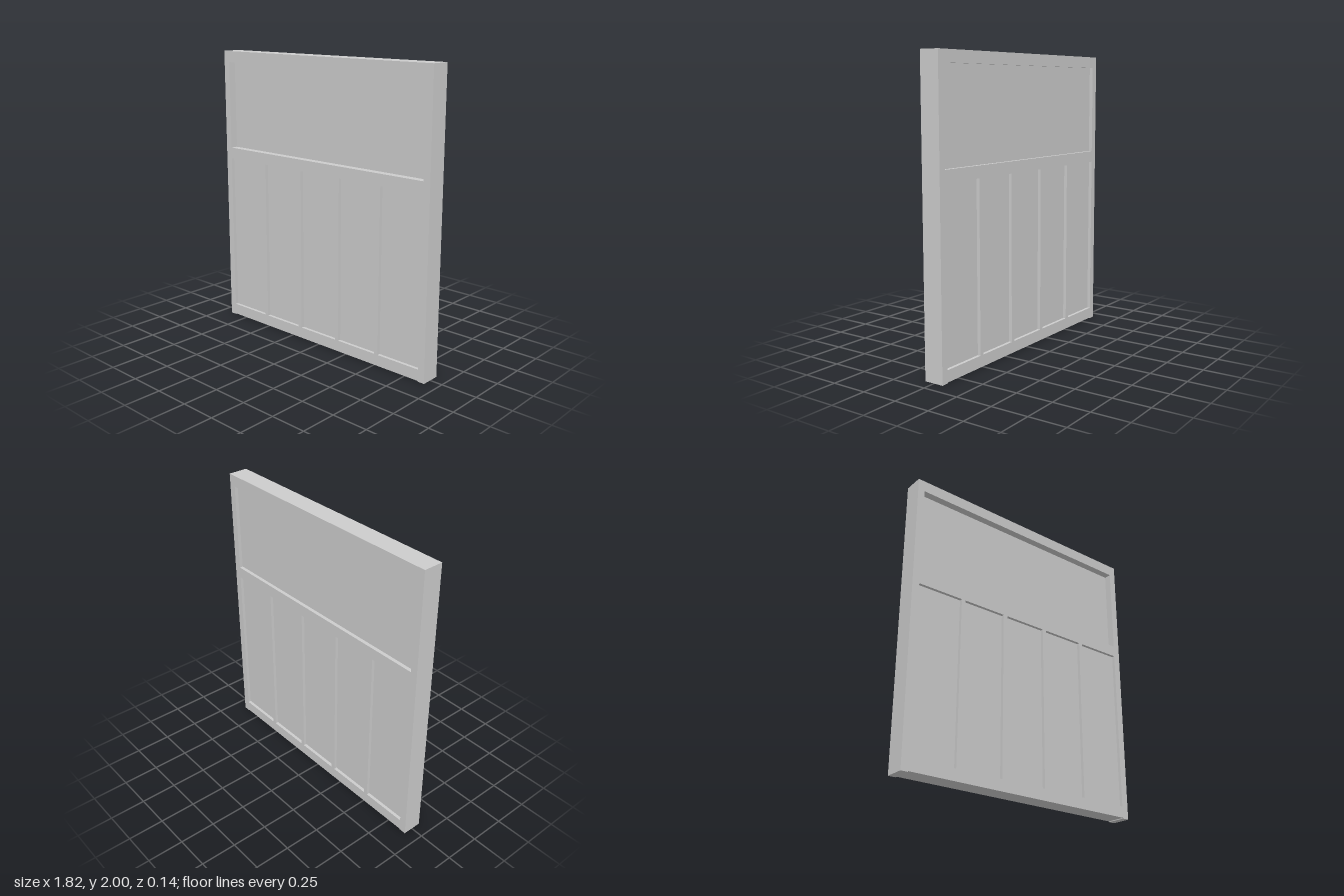
import * as THREE from 'three';

export function createModel() {
  const model = new THREE.Group();
  const material = new THREE.MeshStandardMaterial({ color: 0xcccccc });
  const F = 0.068; // half thickness of the frame

  // Box given by its extents on each axis
  function block(name, x0, x1, y0, y1, z0 = -F, z1 = F) {
    const mesh = new THREE.Mesh(new THREE.BoxGeometry(x1 - x0, y1 - y0, z1 - z0), material);
    mesh.name = name;
    mesh.position.set((x0 + x1) / 2, (y0 + y1) / 2, (z0 + z1) / 2);
    model.add(mesh);
  }

  const outer = 0.91, inner = 0.86;

  // Upright stiles at both sides
  block('leftStile', inner, outer, 0, 2);
  block('rightStile', -outer, -inner, 0, 2);

  // Horizontal rails between the stiles
  block('bottomRail', -inner, inner, 0.005, 0.083);
  block('middleRail', -inner, inner, 1.222, 1.302);
  block('topRail', -inner, inner, 1.922, 2);

  // Wide upper panel, set deeper at the front than at the back
  block('upperPanel', -inner, inner, 1.302, 1.922, -0.043, 0.016);

  // Five lower panels with slim mullions between them
  const centers = [-0.518, -0.173, 0.173, 0.518], half = 0.015;
  const edges = [-inner - half, ...centers, inner + half];
  for (let i = 0; i < 5; i++) {
    block('lowerPanel' + (i + 1), edges[i] + half, edges[i + 1] - half, 0.083, 1.222, -0.046, 0.046);
  }
  centers.forEach((x, i) => block('mullion' + (i + 1), x - half, x + half, 0.083, 1.222));

  return model;
}
